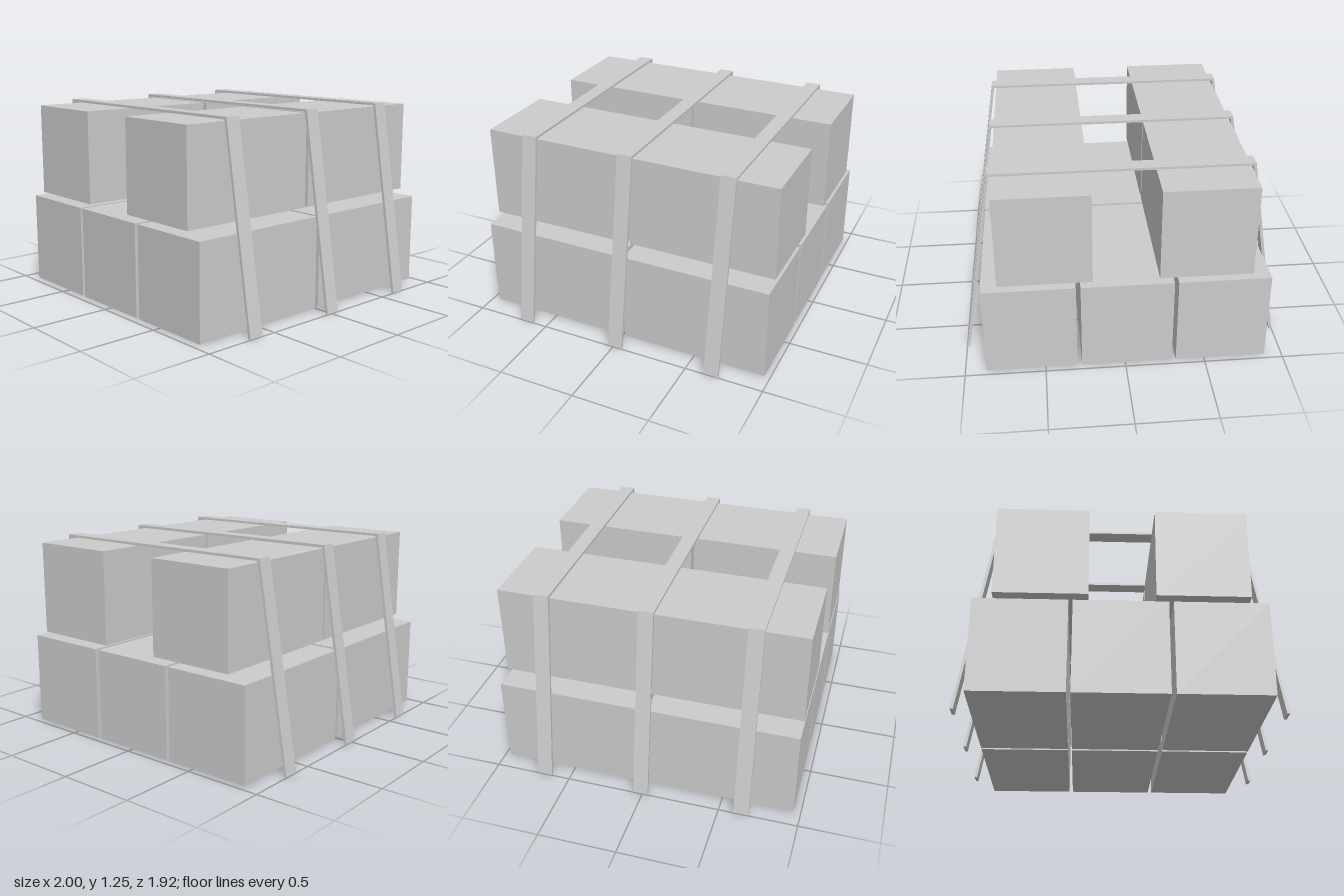
import * as THREE from 'three';

export function createModel() {
  const group = new THREE.Group();
  group.name = 'strappedBlockStack';
  const material = new THREE.MeshStandardMaterial({ color: 0xcccccc, flatShading: true });

  const add = (name, geometry, x, y, z) => {
    const mesh = new THREE.Mesh(geometry, material);
    mesh.name = name;
    mesh.position.set(x, y, z);
    group.add(mesh);
  };

  // Blocks: three columns below, two above, each split in two along z
  const block = new THREE.BoxGeometry(0.568, 0.59, 0.948);
  const layers = [
    { name: 'lowerBlock', y: 0.299, xs: [-0.604, -0.011, 0.585] },
    { name: 'upperBlock', y: 0.93, xs: [-0.487, 0.483] },
  ];
  for (const { name, y, xs } of layers) {
    for (const x of xs) {
      for (const side of [-1, 1]) add(name, block, x, y, -0.005 + side * 0.486);
    }
  }

  // Straps: one flat band bent over the stack, with square-cut lower ends
  const half = [[1, 0.003], [0.795, 1.251]];
  const inner = [[0.779, 1.235], [0.982, 0]];
  const mirror = (points) => points.map(([x, y]) => [-x, y]).reverse();
  const outline = [...half, ...mirror(half), ...mirror(inner), ...inner];
  const band = new THREE.Shape(outline.map(([x, y]) => new THREE.Vector2(x, y)));
  const width = 0.096;
  const strap = new THREE.ExtrudeGeometry(band, { depth: width, bevelEnabled: false });
  strap.translate(0, 0, -width / 2);
  for (const z of [-0.667, -0.012, 0.643]) add('strap', strap, 0, 0, z);

  return group;
}
